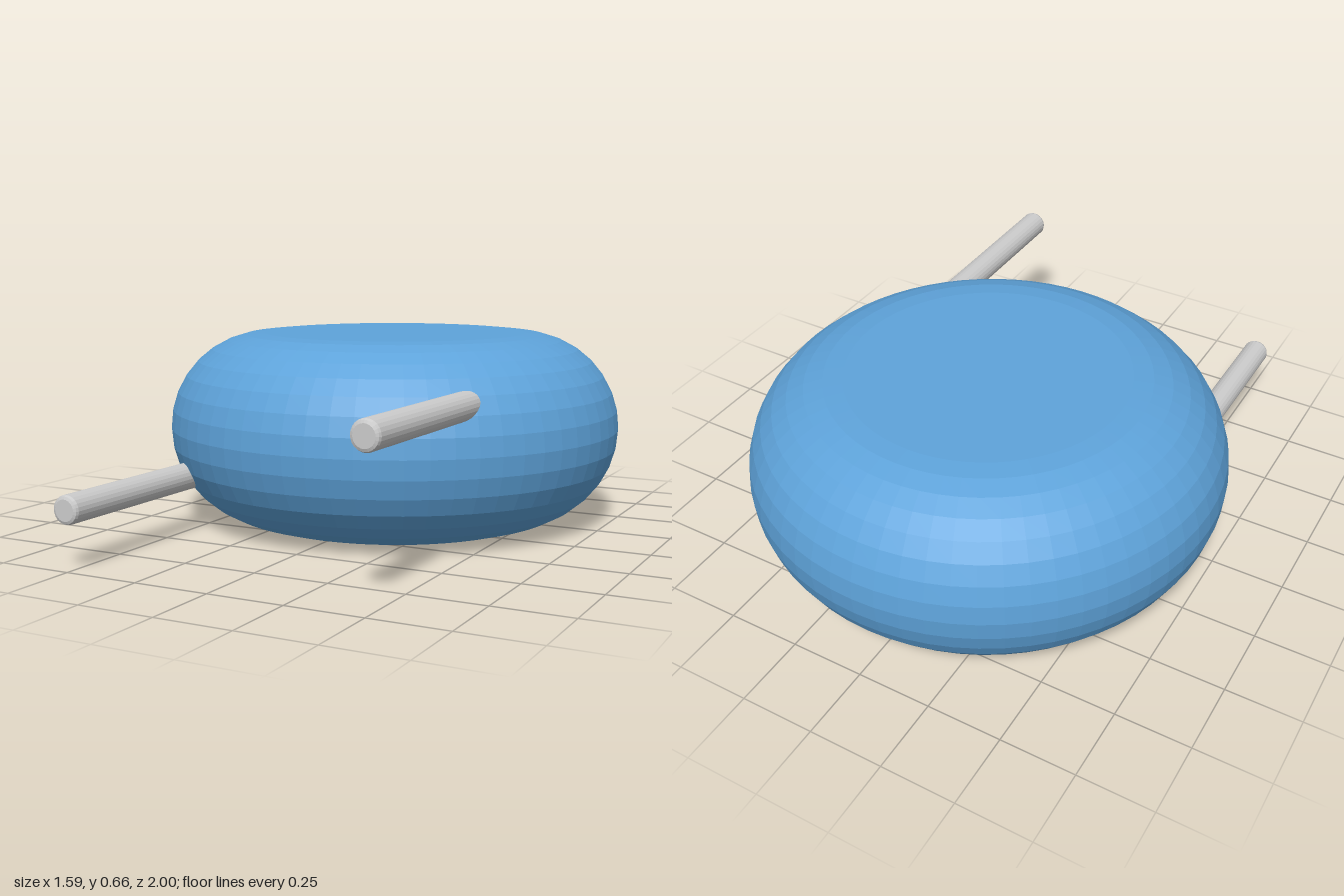
import * as THREE from 'three';

const RIM = 0.33;      // rounded rim radius, half the body height
const FLAT = 0.465;    // radius of the flat top and bottom
const BODY_Z = -0.205;

// Thick disc with a fully rounded rim
function makeBody() {
  const profile = [new THREE.Vector2(0, -RIM)];
  const steps = 16;
  for (let i = 0; i <= steps; i++) {
    const a = -Math.PI / 2 + (i / steps) * Math.PI;
    profile.push(new THREE.Vector2(FLAT + RIM * Math.cos(a), RIM * Math.sin(a)));
  }
  profile.push(new THREE.Vector2(0, RIM));
  const body = new THREE.Mesh(
    new THREE.LatheGeometry(profile, 64),
    new THREE.MeshStandardMaterial({ color: 0x5ea3da, flatShading: true })
  );
  body.name = 'roundedBody';
  body.position.set(0, RIM, BODY_Z);
  return body;
}

// Straight rod pointing forward, with a small bevel at its tip
function makeRod(name, x, y) {
  const r = 0.046, bevel = 0.012, back = 0.2, front = 1;
  const profile = [
    [0, back], [r, back], [r, front - bevel],
    [r - bevel * 0.3, front - bevel * 0.3], [r - bevel, front], [0, front],
  ].map(([px, py]) => new THREE.Vector2(px, py));
  const rod = new THREE.Mesh(
    new THREE.LatheGeometry(profile, 24).rotateX(Math.PI / 2),
    new THREE.MeshStandardMaterial({ color: 0xcccccc, flatShading: true })
  );
  rod.name = name;
  rod.position.set(x, y, 0);
  return rod;
}

export function createModel() {
  const model = new THREE.Group();
  model.name = 'discWithRods';
  model.add(
    makeBody(),
    makeRod('upperLeftRod', 0.497, 0.483),
    makeRod('lowerRightRod', -0.503, 0.188)
  );
  return model;
}
